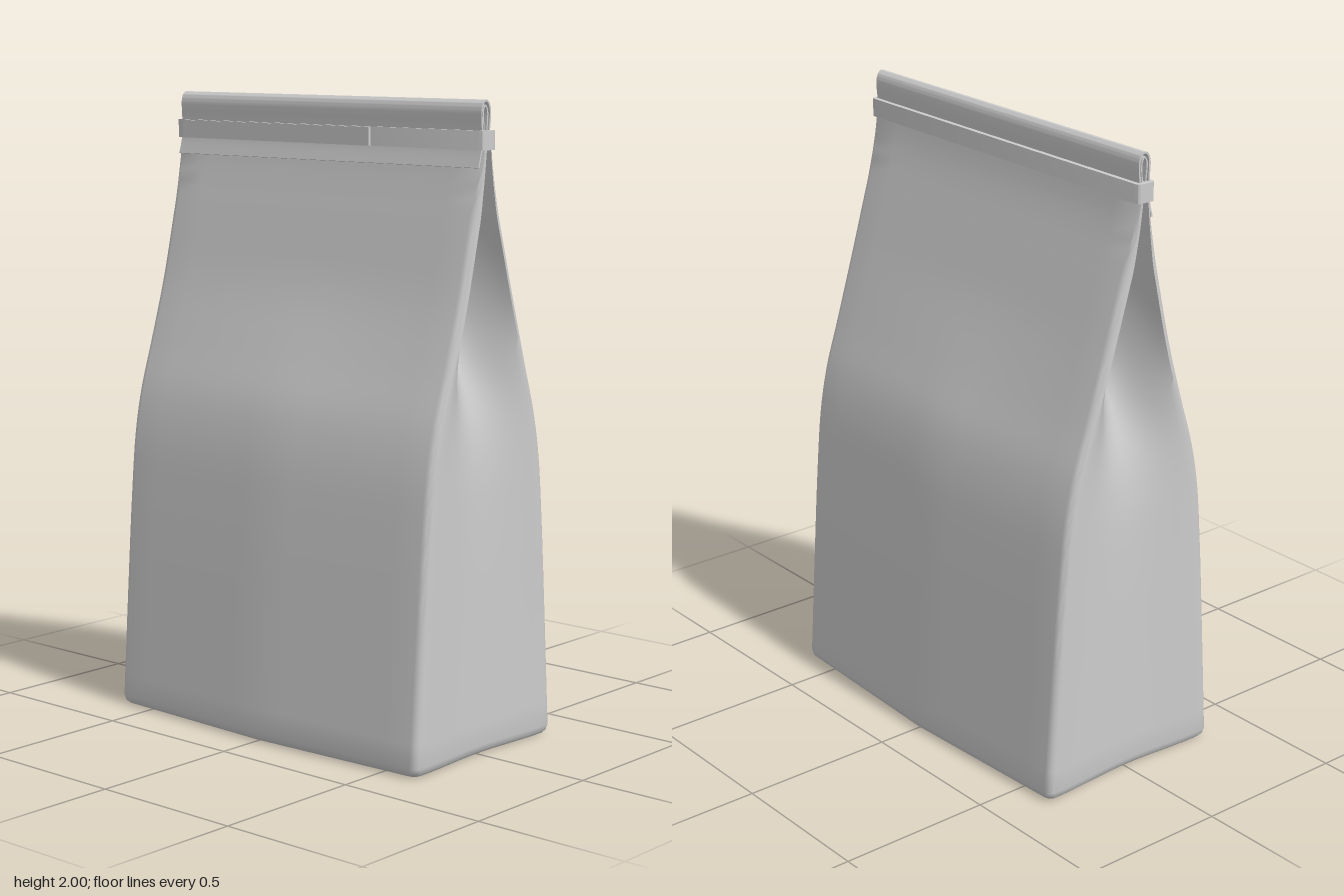
import * as THREE from 'three';
import { toCreasedNormals } from 'three/addons/utils/BufferGeometryUtils.js';

const HALF_Z = 0.632;
const paper = new THREE.MeshStandardMaterial({ color: 0xcccccc, side: THREE.DoubleSide });
paper.name = 'plain paper';

function addMesh(group, name, geometry) {
  const mesh = new THREE.Mesh(geometry, paper);
  mesh.name = name;
  group.add(mesh);
  return mesh;
}

// One horizontal outline: bulged side panels, rounded corners, folded-in gussets
function outline(y, w, depth, inset) {
  const k = THREE.MathUtils.smoothstep(y, 1.0, 1.5);
  const bulge = 0.026 * (1 - k);
  const hw = w - inset, hz = HALF_Z - inset;
  const r = Math.min(0.025, hw * 0.4);
  const quarter = [];
  for (let i = 0; i <= 6; i++) {
    const t = i / 6;
    quarter.push([hw + bulge * (1 - t), t * (hz - r)]);
  }
  for (let i = 1; i <= 5; i++) {
    const a = (i / 5) * Math.PI / 2;
    quarter.push([hw - r + r * Math.cos(a), hz - r + r * Math.sin(a)]);
  }
  for (let i = 1; i <= 10; i++) {
    const t = i / 10;
    const soft = (1 - Math.cos(Math.PI * t)) / 2;
    quarter.push([(hw - r) * (1 - t), hz - depth * THREE.MathUtils.lerp(soft, t, k)]);
  }
  const half = quarter.concat(quarter.slice(0, -1).reverse().map(([x, z]) => [-x, z]));
  const ring = half.concat(half.slice(1, -1).reverse().map(([x, z]) => [x, -z]));
  const shift = -0.012 * THREE.MathUtils.smoothstep(y, 1.3, 1.85);
  return ring.map(([x, z]) => [x + shift, y, z]);
}

function bagGeometry() {
  // Half width, height, gusset depth
  const profile = new THREE.CatmullRomCurve3([
    [0.335, 0.03, 0.015], [0.31, 0.4, 0.02], [0.288, 0.7, 0.025], [0.268, 0.9, 0.035],
    [0.24, 1.04, 0.06], [0.19, 1.2, 0.12], [0.13, 1.4, 0.2], [0.077, 1.6, 0.26],
    [0.03, 1.78, 0.29], [0.012, 1.88, 0.3],
  ].map((p) => new THREE.Vector3(...p)));
  const rings = [[0, 0.025], [0.004, 0.012], [0.013, 0.004]]
    .map(([y, inset]) => outline(y, 0.335, 0.015, inset));
  for (const p of profile.getPoints(45)) rings.push(outline(p.y, p.x, p.z, 0));

  const n = rings[0].length, index = [];
  for (let j = 0; j < rings.length - 1; j++) {
    for (let i = 0; i < n; i++) {
      const a = j * n + i, b = j * n + (i + 1) % n;
      index.push(a, a + n, b, b, a + n, b + n);
    }
  }
  // Flat base
  const centre = rings.length * n;
  for (let i = 0; i < n; i++) index.push(centre, i, (i + 1) % n);
  const geometry = new THREE.BufferGeometry();
  geometry.setAttribute('position',
    new THREE.Float32BufferAttribute([...rings.flat(2), 0, 0, 0], 3));
  geometry.setIndex(index);
  return toCreasedNormals(geometry, 0.7);
}

// Sheet of paper with a given x,y path, running the full depth of the bag
function sheetGeometry(points, thickness, halfDepth) {
  const curve = new THREE.SplineCurve(points.map((p) => new THREE.Vector2(...p)));
  const outer = [], inner = [];
  for (let i = 0; i <= 48; i++) {
    const p = curve.getPoint(i / 48), t = curve.getTangent(i / 48);
    const off = new THREE.Vector2(-t.y, t.x).multiplyScalar(thickness / 2);
    outer.push(p.clone().add(off));
    inner.unshift(p.clone().sub(off));
  }
  const geometry = new THREE.ExtrudeGeometry(new THREE.Shape([...outer, ...inner]),
    { depth: halfDepth * 2, bevelEnabled: false });
  geometry.translate(0, 0, -halfDepth);
  return toCreasedNormals(geometry, 0.7);
}

// Closure strip with rounded ends wrapped round the neck
function tieGeometry(x0, x1, y0, y1, halfDepth) {
  const r = 0.015, s = new THREE.Shape();
  s.moveTo(x0 + r, -halfDepth);
  s.lineTo(x1 - r, -halfDepth);
  s.quadraticCurveTo(x1, -halfDepth, x1, -halfDepth + r);
  s.lineTo(x1, halfDepth - r);
  s.quadraticCurveTo(x1, halfDepth, x1 - r, halfDepth);
  s.lineTo(x0 + r, halfDepth);
  s.quadraticCurveTo(x0, halfDepth, x0, halfDepth - r);
  s.lineTo(x0, -halfDepth + r);
  s.quadraticCurveTo(x0, -halfDepth, x0 + r, -halfDepth);
  const geometry = new THREE.ExtrudeGeometry(s, { depth: y1 - y0, bevelEnabled: false });
  geometry.rotateX(-Math.PI / 2);
  geometry.translate(0, y0, 0);
  return toCreasedNormals(geometry, 0.7);
}

export function createModel() {
  const group = new THREE.Group();
  group.name = 'paperBag';
  addMesh(group, 'bagBody', bagGeometry());

  // Top rolled over to the right, its free edge hanging below the tie
  addMesh(group, 'rolledTop', sheetGeometry([
    [-0.004, 1.86], [0.003, 1.92], [0.006, 1.965], [-0.002, 1.99], [-0.015, 1.997],
    [-0.028, 1.988], [-0.034, 1.965], [-0.032, 1.92], [-0.032, 1.86], [-0.047, 1.8],
  ], 0.006, 0.622));
  addMesh(group, 'innerRoll', sheetGeometry([
    [-0.012, 1.87], [-0.006, 1.93], [-0.005, 1.965], [-0.015, 1.983],
    [-0.025, 1.965], [-0.023, 1.93], [-0.018, 1.88],
  ], 0.005, 0.62));

  // Tie and its overlapping tail
  addMesh(group, 'closureTie', tieGeometry(-0.046, 0.02, 1.852, 1.91, 0.635));
  const tail = addMesh(group, 'tieTail', new THREE.BoxGeometry(0.008, 0.056, 0.8));
  tail.position.set(-0.05, 1.88, -0.2);
  return group;
}
